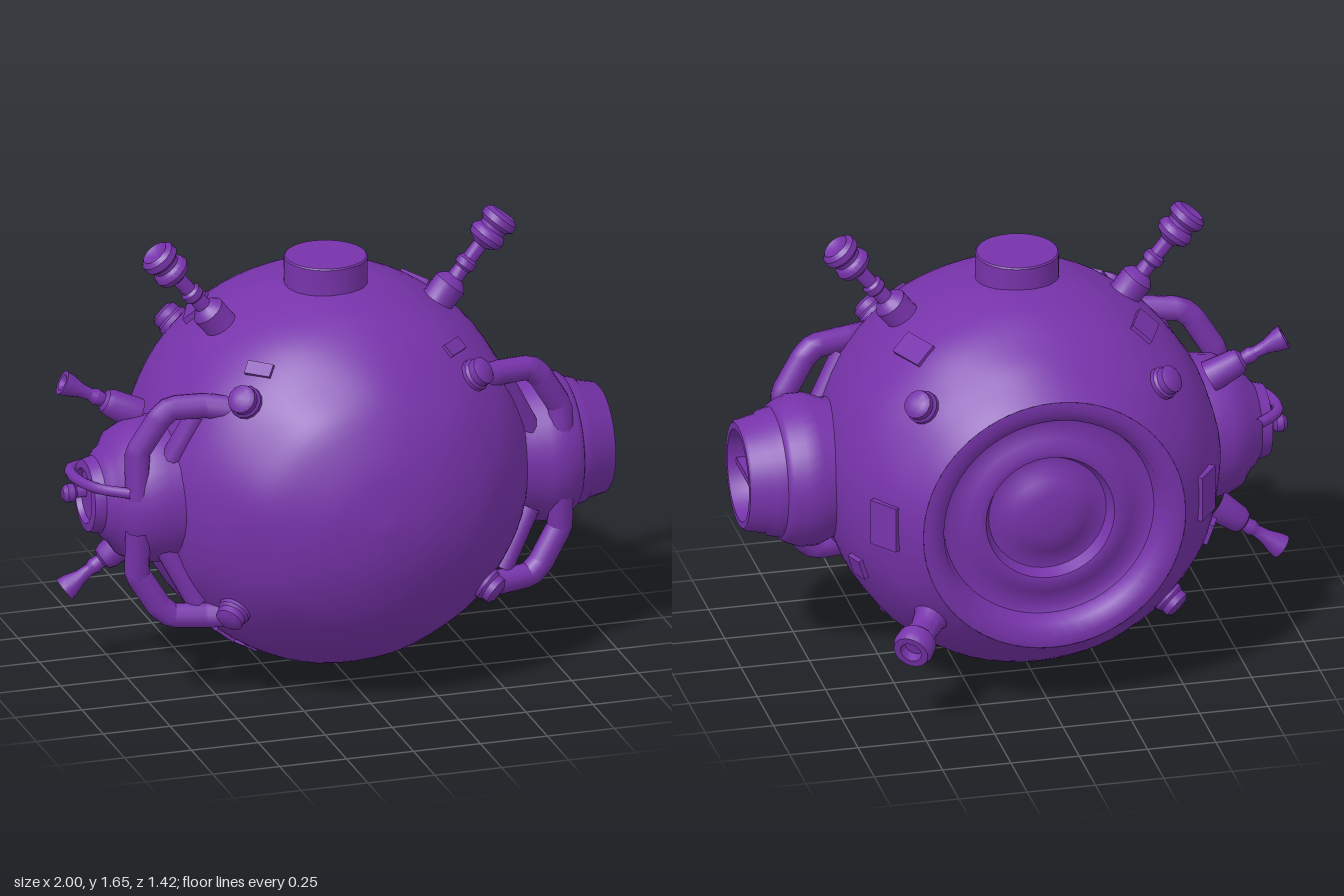
import * as THREE from 'three';
import { toCreasedNormals } from 'three/addons/utils/BufferGeometryUtils.js';

const CY = 0.735; // height of the hull's centre
const V = (x, y, z) => new THREE.Vector3(x, y, z);

export function createModel() {
  const group = new THREE.Group();
  const mat = new THREE.MeshStandardMaterial({ color: 0x7733aa });

  const add = (name, geo) => {
    const mesh = new THREE.Mesh(geo, mat);
    mesh.name = name;
    group.add(mesh);
    return mesh;
  };
  // Turned part: [radius, height] pairs, its axis running from a point along a direction
  const turned = (name, profile, at, dir, segments = 20, crease = 0.6) => {
    const pts = profile.map(([r, h]) => new THREE.Vector2(r, h));
    const mesh = add(name, toCreasedNormals(new THREE.LatheGeometry(pts, segments), crease));
    mesh.position.copy(at);
    mesh.quaternion.setFromUnitVectors(V(0, 1, 0), dir.clone().normalize());
    return mesh;
  };
  // Hull radius at a given z, to seat parts on the surface
  const outline = [[0.48, -0.62], [0.535, -0.55], [0.605, -0.45], [0.68, -0.3], [0.71, -0.15],
    [0.712, 0], [0.685, 0.2], [0.62, 0.35], [0.5, 0.5], [0.385, 0.6], [0.2, 0.68], [0, 0.712]];
  const curve = new THREE.SplineCurve(outline.map(([r, z]) => new THREE.Vector2(r, z)));
  const surface = (x, y, z) => {
    let i = 1;
    while (i < outline.length - 1 && outline[i][1] < z) i++;
    const [r0, z0] = outline[i - 1], [r1, z1] = outline[i];
    const r = r0 + (r1 - r0) * (z - z0) / (z1 - z0), len = Math.hypot(x, y);
    return V(x / len * r, CY + y / len * r, z);
  };
  const outward = (p) => V(p.x, p.y - CY, p.z + 0.05).normalize();

  // Hull, gently dented
  const hullGeo = new THREE.LatheGeometry(curve.getPoints(48), 72);
  hullGeo.rotateX(Math.PI / 2);
  const pos = hullGeo.attributes.position;
  for (let i = 0; i < pos.count; i++) {
    const p = V().fromBufferAttribute(pos, i);
    const fade = Math.min(1, (p.z + 0.62) / 0.15);
    const k = 1 + 0.006 * fade * Math.sin(p.x * 13 + 1) * Math.sin(p.y * 15) * Math.cos(p.z * 12);
    pos.setXYZ(i, p.x * k, p.y * k + CY, p.z * k);
  }
  hullGeo.computeVertexNormals();
  add('hull', toCreasedNormals(hullGeo, 0.8));

  // Recessed rear port with stepped rings and a domed centre
  turned('rearPort', [[0.48, 0.62], [0.445, 0.625], [0.4, 0.6], [0.385, 0.53], [0.36, 0.52],
    [0.3, 0.535], [0.26, 0.56], [0.235, 0.555], [0.215, 0.51], [0.17, 0.51], [0.14, 0.535],
    [0.08, 0.55], [0, 0.555]], V(0, CY, 0), V(0, 0, -1), 56, 0.9);

  // Top hatch and bottom nib
  turned('topHatch', [[0.15, 0], [0.15, 0.17], [0.145, 0.175], [0, 0.175]],
    V(-0.01, 1.355, 0), V(0, 1, 0), 32);
  turned('bottomNib', [[0.1, 0], [0.06, 0.03], [0.015, 0.045], [0, 0.045]],
    V(-0.02, 0.045, -0.05), V(0, -1, 0), 12);

  // Left pod: collar, tapering nozzle and a hollow mouth with a crossbar
  turned('leftPod', [[0.24, 0.5], [0.25, 0.6], [0.25, 0.68], [0.275, 0.74], [0.275, 0.8], [0.255, 0.85],
    [0.245, 0.865], [0.235, 0.87], [0.225, 0.91], [0.215, 0.92], [0.2, 0.99], [0.19, 1.0],
    [0.167, 1.0], [0.16, 0.93], [0.15, 0.9], [0, 0.88]], V(0, 0.735, 0.045), V(1, 0, 0), 40);
  const bar = add('mouthCrossbar', new THREE.BoxGeometry(0.09, 0.025, 0.31));
  bar.position.set(0.925, 0.72, 0.045);

  // Right pod: stubby cap with a small tip
  turned('rightPod', [[0.27, 0.5], [0.265, 0.68], [0.255, 0.76], [0.225, 0.82], [0.18, 0.85],
    [0.165, 0.87], [0.14, 0.89], [0.13, 0.93], [0.1, 0.935], [0.09, 0.915], [0, 0.915]],
    V(0, 0.74, 0.06), V(-1, 0, 0), 32);
  turned('rightPodTip', [[0.02, 0], [0.02, 0.04], [0.034, 0.05], [0.034, 0.075], [0.02, 0.09], [0, 0.09]],
    V(-0.91, 0.74, 0.02), V(-1, 0, 0), 14);
  const loop = new THREE.CatmullRomCurve3([V(-0.87, 0.8, -0.1), V(-0.95, 0.81, -0.04),
    V(-0.965, 0.81, 0.04), V(-0.92, 0.81, 0.18), V(-0.82, 0.81, 0.27)]);
  add('rightPodHandle', new THREE.TubeGeometry(loop, 20, 0.02, 8));

  // Bent arms clasping each pod, above and below
  for (const side of [1, -1]) {
    for (const up of [1, -1]) {
      const y = (h) => 0.72 + up * h;
      const name = (side > 0 ? 'left' : 'right') + (up > 0 ? 'Upper' : 'Lower') + 'Arm';
      const path = new THREE.CurvePath();
      const pts = [V(0.44, y(0.39), 0.33), V(0.55, y(0.4), 0.28), V(0.67, y(0.395), 0.255),
        V(0.71, y(0.36), 0.25), V(0.79, y(0.23), 0.235), V(0.79, y(0.06), 0.25)];
      pts.forEach((p) => { p.x *= side; });
      for (let i = 1; i < pts.length; i++) path.add(new THREE.LineCurve3(pts[i - 1], pts[i]));
      add(name, new THREE.TubeGeometry(path, 30, 0.046, 10));
      // Inner brace leaving an open gap beside the arm
      const brace = new THREE.LineCurve3(V(side * 0.57, y(0.36), 0.25), V(side * 0.68, y(0.15), 0.22));
      add(name + 'Brace', new THREE.TubeGeometry(brace, 4, 0.04, 10));
    }
  }

  // Antennae with stepped sockets and spool-shaped heads
  for (const side of [1, -1]) {
    turned(side > 0 ? 'leftAntenna' : 'rightAntenna', [[0.085, -0.03], [0.07, 0.02], [0.06, 0.06],
      [0.062, 0.13], [0.045, 0.15], [0.03, 0.16], [0.028, 0.2], [0.038, 0.21], [0.038, 0.235],
      [0.027, 0.245], [0.027, 0.305], [0.06, 0.325], [0.068, 0.345], [0.062, 0.365], [0.05, 0.375],
      [0.052, 0.39], [0.068, 0.405], [0.066, 0.43], [0.05, 0.445], [0.035, 0.435], [0, 0.43]],
      V(side * 0.37, 1.27, 0.01), V(side * 0.64, 0.78, 0), 18);
  }

  // Flared horns on the right flank
  const horn = [[0.06, -0.08], [0.05, 0.03], [0.042, 0.05], [0.025, 0.06], [0.03, 0.09],
    [0.022, 0.11], [0.026, 0.15], [0.042, 0.2], [0.046, 0.225], [0.03, 0.225], [0, 0.2]];
  turned('upperHorn', horn, V(-0.77, 1.02, -0.06), V(-0.2, 0.105, -0.02), 14);
  turned('lowerHorn', horn, V(-0.77, 0.455, -0.1), V(-0.19, -0.145, -0.02), 14);

  // Rear thruster, low on the left
  turned('rearThruster', [[0.09, -0.1], [0.075, 0.06], [0.058, 0.1], [0.05, 0.16], [0.055, 0.2],
    [0.07, 0.215], [0.075, 0.26], [0.065, 0.285], [0.04, 0.285], [0.035, 0.25], [0, 0.25]],
    V(0.38, 0.4, -0.45), V(0.15, -0.08, -0.21), 18);

  // Round studs over the hull
  const studs = [[0.45, 0.45, 0.38], [-0.46, 0.45, 0.38], [0.45, -0.36, 0.38], [-0.46, -0.36, 0.38],
    [0.46, 0.45, -0.44], [-0.46, 0.45, -0.44], [-0.46, -0.42, -0.42]];
  for (const s of studs) {
    const p = surface(...s);
    turned('stud', [[0.062, -0.04], [0.06, 0.015], [0.052, 0.025], [0.052, 0.05], [0.035, 0.062], [0, 0.065]],
      p, outward(p), 14);
  }

  // Thin raised plates: direction x, y, depth z, then width and height
  const plates = [[0.66, 0, -0.48, 0.12, 0.17], [-0.66, 0, -0.48, 0.12, 0.17],
    [0.4, 0.53, -0.23, 0.15, 0.09], [-0.4, 0.53, -0.23, 0.15, 0.09],
    [0.65, -0.24, -0.3, 0.07, 0.08], [-0.65, -0.24, -0.3, 0.07, 0.08],
    [0.4, -0.5, 0.04, 0.2, 0.09], [-0.4, -0.5, 0.04, 0.2, 0.09],
    [0.35, 0.5, 0.33, 0.1, 0.05], [-0.35, 0.5, 0.33, 0.1, 0.05],
    [-0.35, -0.6, 0.1, 0.1, 0.07], [0.2, -0.6, 0.1, 0.12, 0.08]];
  for (const [x, y, z, w, h] of plates) {
    const p = surface(x, y, z);
    const plate = add('hullPlate', new THREE.BoxGeometry(w, h, 0.03));
    plate.position.copy(p);
    plate.lookAt(p.clone().add(outward(p)));
  }
  return group;
}
